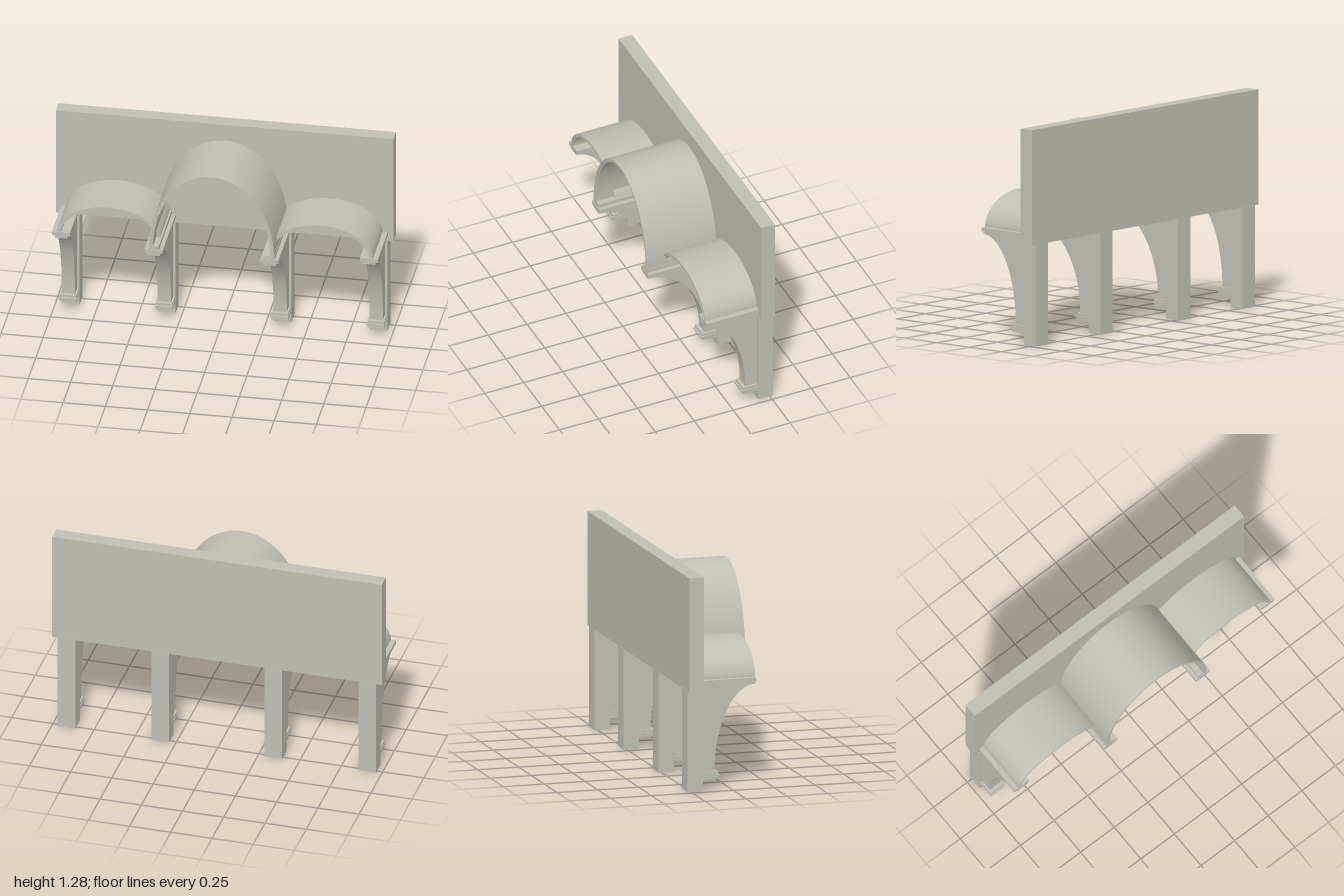
import * as THREE from 'three';
import { toCreasedNormals } from 'three/addons/utils/BufferGeometryUtils.js';

const stone = new THREE.MeshStandardMaterial({ color: 0xbfbfb3 });
stone.name = 'pale stone';

export function createModel() {
  const model = new THREE.Group();
  model.name = 'vaultedArcade';

  const add = (parent, name, geometry) => {
    const mesh = new THREE.Mesh(geometry, stone);
    mesh.name = name;
    parent.add(mesh);
  };

  // Box given by its width about x = 0 and its y and z limits
  const box = (parent, name, w, y0, y1, z0, z1) => {
    const g = new THREE.BoxGeometry(w, y1 - y0, z1 - z0);
    add(parent, name, g.translate(0, (y0 + y1) / 2, (z0 + z1) / 2));
  };

  // Half-elliptical shell running forward from the wall
  const shell = (parent, name, rx, ry, t, spring, front) => {
    const s = new THREE.Shape();
    s.moveTo(rx, 0);
    s.absellipse(0, 0, rx, ry, 0, Math.PI, false, 0);
    s.lineTo(-rx + t, 0);
    s.absellipse(0, 0, rx - t, ry - t, Math.PI, 0, true, 0);
    s.closePath();
    const back = -0.19;
    const g = new THREE.ExtrudeGeometry(s, { depth: front - back, bevelEnabled: false, curveSegments: 48 });
    add(parent, name, toCreasedNormals(g.translate(0, spring, back), 0.5));
  };

  // Each vault has a main shell and a slightly recessed lining
  const vault = (name, x, rx, ry, spring, front) => {
    const group = new THREE.Group();
    group.name = name;
    group.position.x = x;
    shell(group, 'vaultShell', rx, ry, 0.012, spring, front);
    shell(group, 'vaultLining', rx - 0.011, ry - 0.011, 0.012, spring, front - 0.005);
    model.add(group);
  };

  // Concave bracket sweeping from the base moulding up to the impost
  const bracket = (parent, front) => {
    const w = 0.078, foot = 0.11, top = 0.617, face = -0.1;
    const s = new THREE.Shape();
    s.moveTo(-0.18, 0.07);
    s.lineTo(face, 0.07);
    s.lineTo(face, foot);
    s.absellipse(front, foot, front - face, top - foot, Math.PI, Math.PI / 2, true, 0);
    s.lineTo(front, top + 0.005);
    s.lineTo(-0.18, top + 0.005);
    s.closePath();
    const g = new THREE.ExtrudeGeometry(s, { depth: w, bevelEnabled: false, curveSegments: 32 });
    g.rotateY(-Math.PI / 2).translate(w / 2, 0, 0);
    add(parent, 'curvedBracket', toCreasedNormals(g, 0.5));
  };

  // Pier with base moulding, bracket and impost
  const pier = (name, x, front, inner) => {
    const group = new THREE.Group();
    group.name = name;
    group.position.x = x;
    box(group, 'pierShaft', 0.107, 0, 0.601, -0.27, -0.175);
    box(group, 'baseMoulding', 0.1, 0.065, 0.11, -0.18, -0.08);
    box(group, 'baseFillet', 0.107, 0.084, 0.094, -0.18, -0.07);
    bracket(group, front);
    box(group, 'impostNeck', 0.078, 0.617, 0.635, -0.19, front);
    box(group, 'impostSlab', 0.107, 0.634, 0.656, -0.19, front + 0.003);
    if (inner) box(group, 'springerBlock', 0.06, 0.655, 0.68, -0.19, front);
    model.add(group);
  };

  // Back wall
  box(model, 'backWall', 2, 0.6, 1.28, -0.268, -0.18);

  // Central vault and the mirrored side bays
  vault('centralVault', 0, 0.37, 0.495, 0.68, 0.268);
  for (const [side, label] of [[1, 'left'], [-1, 'right']]) {
    vault(label + 'Vault', side * 0.628, 0.307, 0.194, 0.655, 0.153);
    pier(label + 'InnerPier', side * 0.343, 0.264, true);
    pier(label + 'OuterPier', side * 0.912, 0.15, false);
  }

  return model;
}
